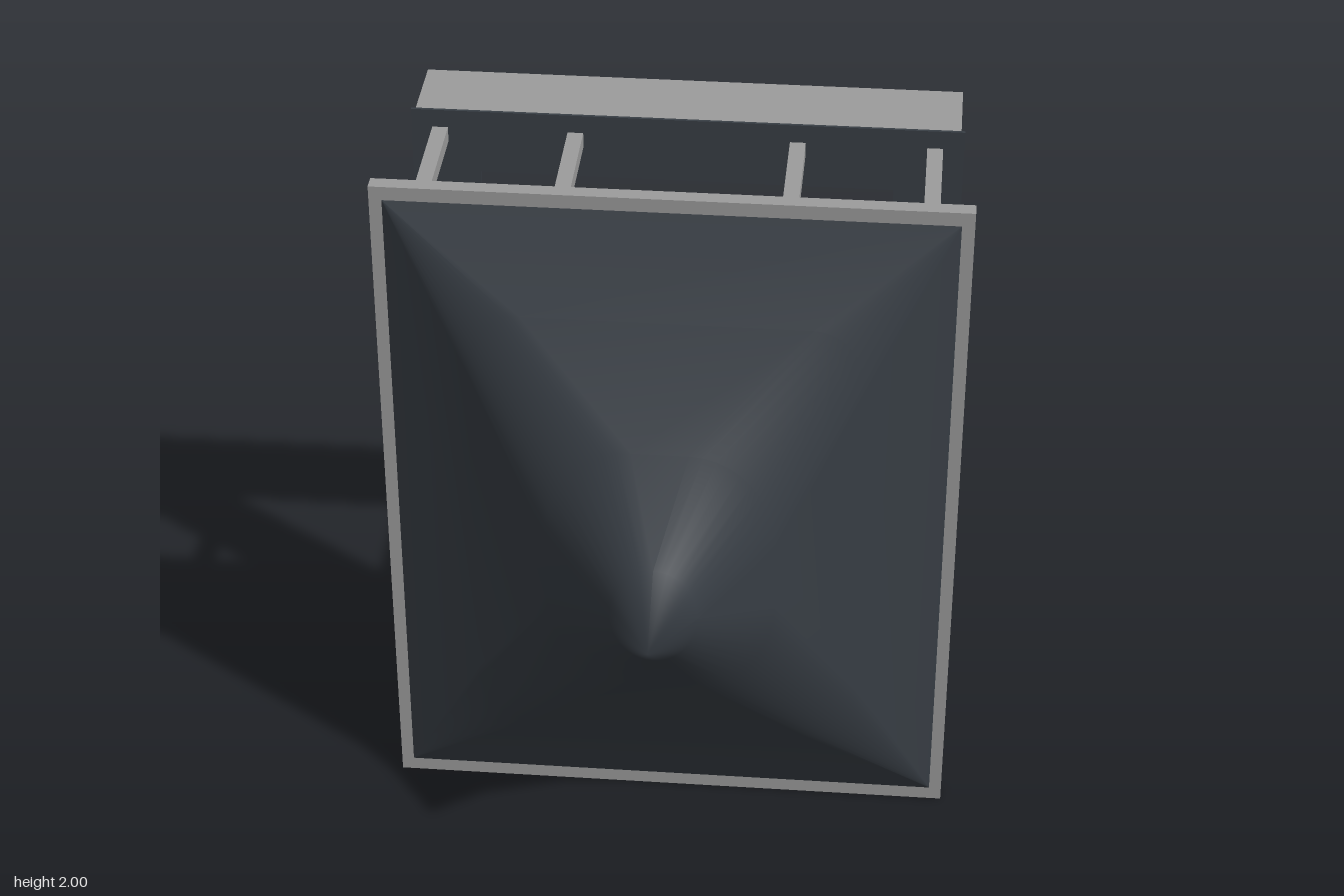
import * as THREE from 'three';

const grey = new THREE.MeshStandardMaterial({ color: 0x9c9c9c });
grey.name = 'light grey';
const dark = new THREE.MeshStandardMaterial({ color: 0x383e45 });
dark.name = 'dark slate';

const CY = 1; // height of the centre line

function add(group, name, geometry, material, x, y, z) {
  const mesh = new THREE.Mesh(geometry, material);
  mesh.name = name;
  mesh.position.set(x, y, z);
  group.add(mesh);
}

// Rectangular ring, extruded towards +z
function frameGeometry(w, h, border, depth) {
  const rect = (path, a, b) =>
    path.moveTo(-a, -b).lineTo(a, -b).lineTo(a, b).lineTo(-a, b).closePath();
  const shape = new THREE.Shape();
  rect(shape, w, h);
  const hole = new THREE.Path();
  rect(hole, w - border, h - border);
  shape.holes.push(hole);
  return new THREE.ExtrudeGeometry(shape, { depth, bevelEnabled: false });
}

// Concave spike: rectangular base turning into ellipses and then a point
function spikeGeometry() {
  // half width, half height, z, corner rounding (0 = square, 1 = ellipse)
  const rings = [
    [0.77, 0.96, 0.045, 0],
    [0.54, 0.69, 0.165, 0.27],
    [0.315, 0.39, 0.345, 0.75],
    [0.12, 0.15, 0.543, 1],
  ];
  const steps = 10;
  const count = 4 * (steps + 1);
  const positions = [];
  const index = [];
  for (const [a, b, z, r] of rings) {
    for (let q = 0; q < 4; q++) {
      const sx = q === 0 || q === 3 ? 1 : -1;
      const sy = q < 2 ? 1 : -1;
      for (let i = 0; i <= steps; i++) {
        const t = (q + i / steps) * Math.PI / 2;
        positions.push(
          a * (sx * (1 - r) + r * Math.cos(t)),
          b * (sy * (1 - r) + r * Math.sin(t)), z);
      }
    }
  }
  const apex = rings.length * count;
  positions.push(0, 0, 0.71);
  for (let k = 0; k < rings.length; k++) {
    for (let i = 0; i < count; i++) {
      const j = (i + 1) % count;
      const p = k * count + i, q = k * count + j;
      if (k === rings.length - 1) index.push(p, q, apex);
      else index.push(p, q, q + count, p, q + count, p + count);
    }
  }
  const geometry = new THREE.BufferGeometry();
  geometry.setAttribute('position', new THREE.Float32BufferAttribute(positions, 3));
  geometry.setIndex(index);
  geometry.computeVertexNormals();
  return geometry;
}

export function createModel() {
  const model = new THREE.Group();
  model.name = 'spikedPanel';

  // Front panel and its spike
  add(model, 'frontPanel', new THREE.BoxGeometry(1.61, 2, 0.045), grey, 0, CY, 0.0225);
  add(model, 'spike', spikeGeometry(), dark, 0, CY, 0);

  // Rear frame with a thin flange on its front
  add(model, 'rearFrame', frameGeometry(0.76, 0.953, 0.043, 0.24), grey, 0, CY, -0.713);
  add(model, 'flange', frameGeometry(0.77, 0.96, 0.19, 0.009), dark, 0, CY, -0.473);

  // Rods joining the panel to the flange
  const rod = new THREE.BoxGeometry(0.044, 0.044, 0.465);
  for (const x of [-0.69, -0.31, 0.31, 0.69]) {
    for (const y of [0.12, 1.885]) add(model, 'rod', rod, grey, x, y, -0.2325);
  }
  return model;
}
